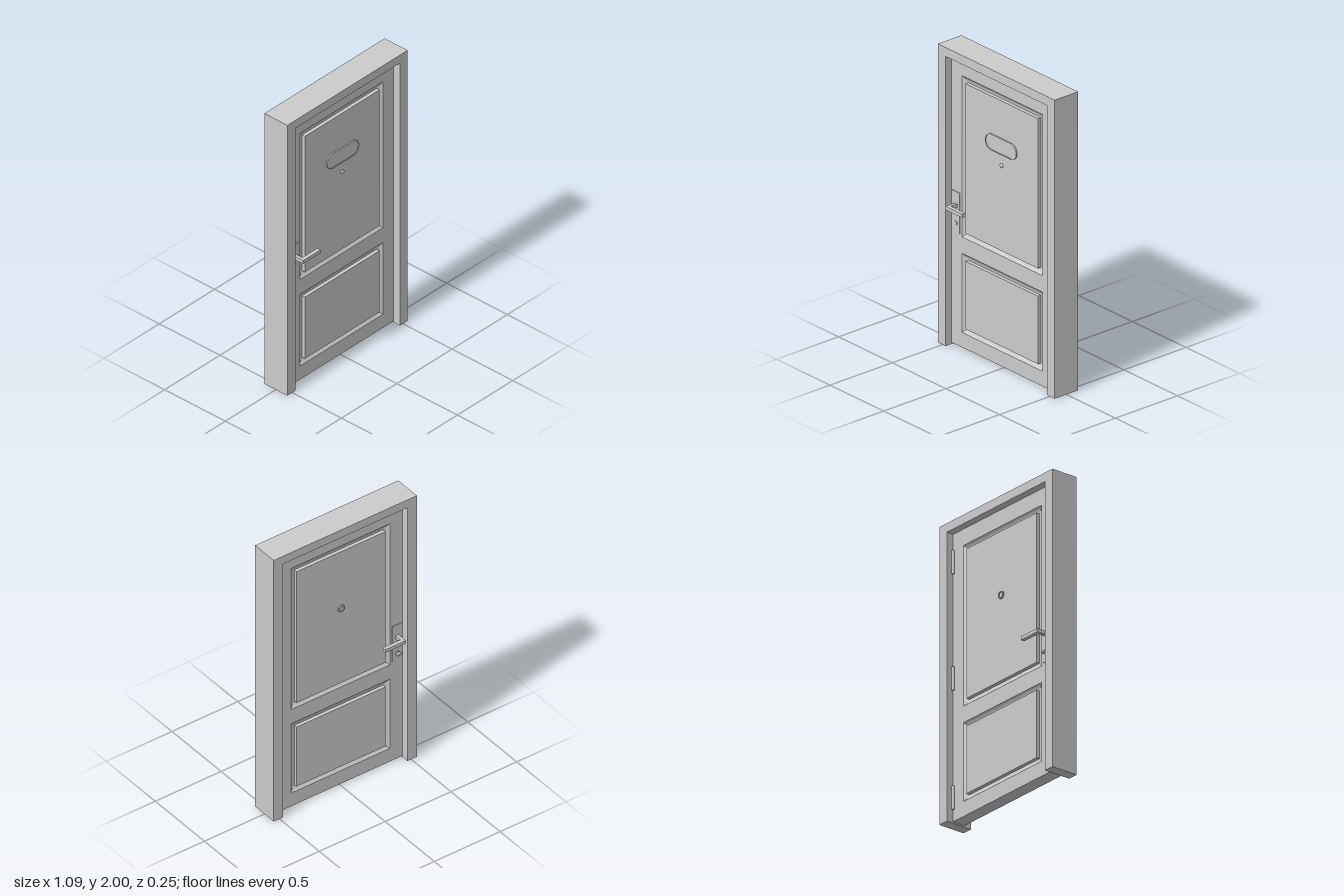
import * as THREE from 'three';
import { toCreasedNormals } from 'three/addons/utils/BufferGeometryUtils.js';

const W = 0.544, D = 0.095;            // frame half width and half depth
const IN = 0.472, TOP = 1.94;          // frame opening
const T = 0.045;                       // door half thickness
const COVE = 0.038, SINK = 0.018;      // moulding width and depth
const PANELS = [[0.11, 0.64], [0.75, 1.83]], PX = 0.375;
const FACE = 0.051;                    // z of the raised panel fields
const HX = -0.428;                     // x of the handle set

const material = new THREE.MeshStandardMaterial({ color: 0xcccccc });

function add(parent, name, geometry, x = 0, y = 0, z = 0) {
  const mesh = new THREE.Mesh(geometry, material);
  mesh.name = name;
  mesh.position.set(x, y, z);
  parent.add(mesh);
  return mesh;
}

const corners = (x, y0, y1) => [[-x, y0], [x, y0], [x, y1], [-x, y1]];
const points = (list) => list.map(([x, y]) => new THREE.Vector2(x, y));

function extrude(shape, depth) {
  const g = new THREE.ExtrudeGeometry(shape, { depth, bevelEnabled: false, curveSegments: 16 });
  g.translate(0, 0, -depth / 2);
  return toCreasedNormals(g, 0.6);
}

// Four mitred strips of a cove profile running round a panel field
function mouldingGeometry(y0, y1) {
  const pos = [], index = [], steps = 8;
  for (let side = 0; side < 4; side++) {
    const base = pos.length / 3;
    for (let i = 0; i <= steps; i++) {
      const t = i / steps;
      const inset = COVE * t, z = T - SINK * (1 - (1 - t) ** 2);
      const c = corners(PX - inset, y0 + inset, y1 - inset);
      pos.push(...c[side], z, ...c[(side + 1) % 4], z);
    }
    for (let k = 0; k < steps; k++) {
      const a = base + 2 * k;
      index.push(a, a + 1, a + 3, a, a + 3, a + 2);
    }
  }
  const g = new THREE.BufferGeometry();
  g.setAttribute('position', new THREE.Float32BufferAttribute(pos, 3));
  g.setIndex(index);
  g.computeVertexNormals();
  return g;
}

// Rounded-end plate outline
function stadium(halfW, r) {
  const s = new THREE.Shape();
  s.absarc(halfW - r, 0, r, -Math.PI / 2, Math.PI / 2, false);
  s.absarc(-halfW + r, 0, r, Math.PI / 2, Math.PI * 1.5, false);
  s.closePath();
  return s;
}

// Disc whose axis points along z
const disc = (r, depth) => new THREE.CylinderGeometry(r, r, depth, 24).rotateX(Math.PI / 2);

// Handle set for the front (s = 1) or back (s = -1)
function handleSet(s) {
  const g = new THREE.Group();
  g.name = s > 0 ? 'frontHandle' : 'backHandle';
  add(g, 'backPlate', new THREE.BoxGeometry(0.07, 0.273, 0.006), HX, 0.9, s * (T + 0.002));
  add(g, 'handleStem', new THREE.BoxGeometry(0.022, 0.024, 0.06), -0.425, 0.947, s * 0.075);
  add(g, 'handleLever', new THREE.BoxGeometry(0.156, 0.024, 0.026), -0.358, 0.947, s * 0.114);
  if (s > 0) {
    add(g, 'lockCylinder', disc(0.014, 0.008), HX, 0.828, T + 0.006);
  } else {
    add(g, 'turnBase', disc(0.015, 0.01), HX, 0.822, -T - 0.008);
    add(g, 'thumbTurn', new THREE.BoxGeometry(0.034, 0.012, 0.022), HX, 0.822, -T - 0.02);
  }
  return g;
}

export function createModel() {
  const model = new THREE.Group();
  model.name = 'door';

  // Frame: two jambs and a header in one piece
  const outline = [[-W, 0], [-IN, 0], [-IN, TOP], [IN, TOP], [IN, 0], [W, 0], [W, 2], [-W, 2]];
  add(model, 'frame', extrude(new THREE.Shape(points(outline)), 2 * D));

  // Door leaf with openings for the panels
  const leaf = new THREE.Shape(points(corners(IN, 0.01, TOP)));
  for (const [y0, y1] of PANELS) leaf.holes.push(new THREE.Path(points(corners(PX, y0, y1).reverse())));
  add(model, 'doorLeaf', extrude(leaf, 2 * T));

  // Raised panel fields and the sunken mouldings around them, on both faces
  for (const [y0, y1] of PANELS) {
    const h = y1 - y0 - 2 * COVE;
    add(model, 'panel', new THREE.BoxGeometry(2 * (PX - COVE), h, 2 * FACE), 0, (y0 + y1) / 2, 0);
    const moulding = mouldingGeometry(y0, y1);
    add(model, 'frontMoulding', moulding);
    add(model, 'backMoulding', moulding).rotation.y = Math.PI;
  }

  // Number plate with a raised rim
  const rim = stadium(0.145, 0.054);
  rim.holes.push(stadium(0.139, 0.048));
  add(model, 'numberPlate', extrude(stadium(0.142, 0.051), 0.006), 0, 1.488, FACE + 0.003);
  add(model, 'numberPlateRim', extrude(rim, 0.01), 0, 1.488, FACE + 0.004);

  // Peephole: small lens in front, ringed eyepiece behind
  add(model, 'peepholeLens', new THREE.SphereGeometry(0.014, 20, 12).scale(1, 1, 0.6), 0, 1.36, FACE + 0.002);
  const eyepiece = new THREE.Shape().absarc(0, 0, 0.025, 0, Math.PI * 2);
  eyepiece.holes.push(new THREE.Path().absarc(0, 0, 0.018, 0, Math.PI * 2, true));
  add(model, 'peepholeRing', extrude(eyepiece, 0.01), 0, 1.36, -FACE - 0.004);
  add(model, 'peepholeGlass', disc(0.019, 0.004), 0, 1.36, -FACE - 0.001);

  model.add(handleSet(1), handleSet(-1));

  // Hinge barrels on the back
  for (const y of [0.167, 0.967, 1.749]) {
    add(model, 'hinge', new THREE.CylinderGeometry(0.009, 0.009, 0.157, 16), IN - 0.006, y, -T - 0.006);
  }
  return model;
}
